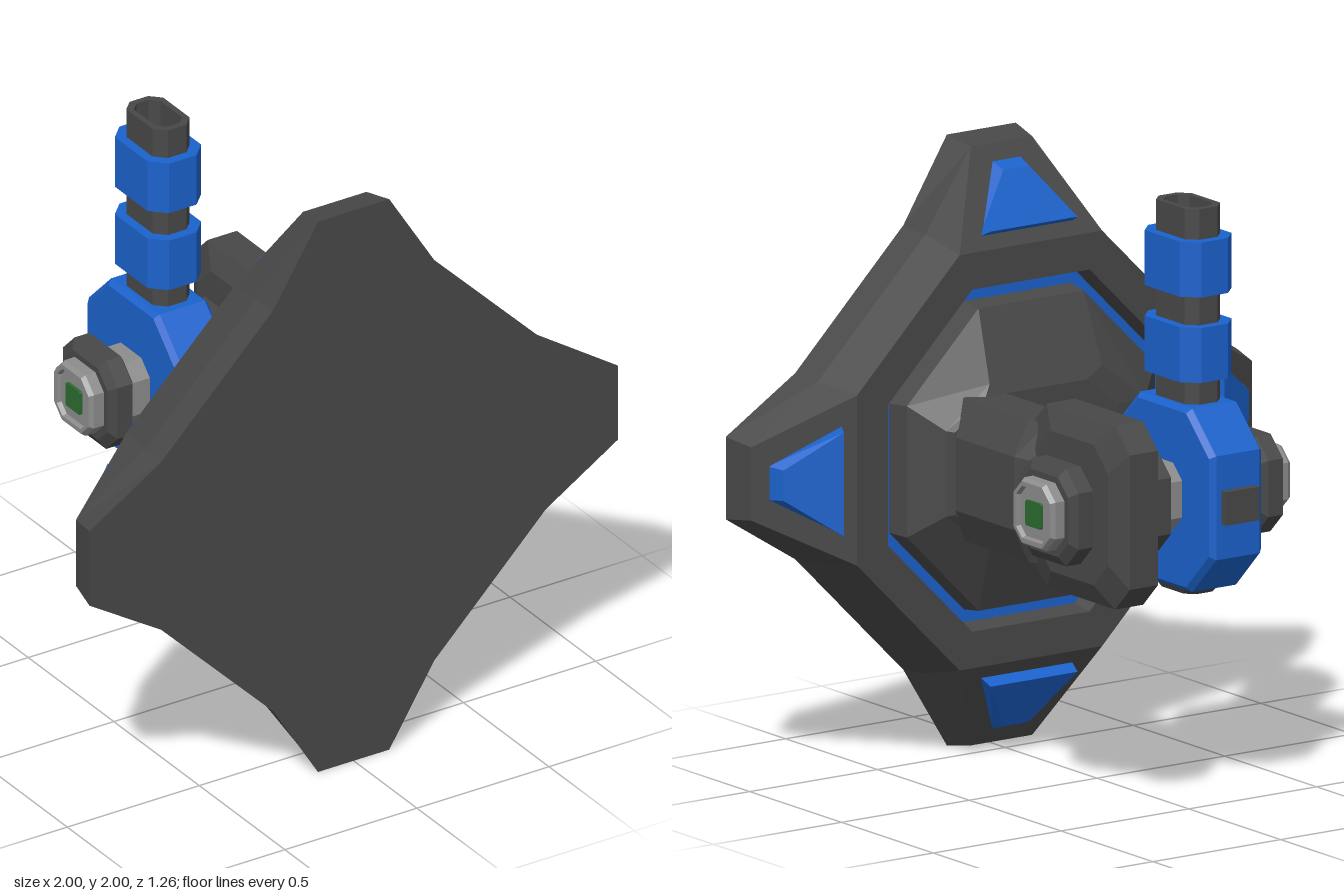
import * as THREE from 'three';

const mat = (c) => new THREE.MeshStandardMaterial({ color: c, flatShading: true });
const V = (x, y, z) => new THREE.Vector3(x, y, z);

// Skins a list of equal-length point rings and caps both ends, facing outward
function loft(rings) {
  const tris = [];
  const n = rings[0].length;
  for (let r = 0; r + 1 < rings.length; r++) {
    for (let i = 0; i < n; i++) {
      const j = (i + 1) % n, a = rings[r], b = rings[r + 1];
      tris.push([a[i], a[j], b[j]], [a[i], b[j], b[i]]);
    }
  }
  const cap = (ring, flip) => {
    const c = ring.reduce((s, p) => s.add(p), V(0, 0, 0)).divideScalar(n);
    ring.forEach((p, i) => {
      const q = ring[(i + 1) % n];
      tris.push(flip ? [c, q, p] : [c, p, q]);
    });
  };
  cap(rings[0], true);
  cap(rings[rings.length - 1], false);
  const volume = tris.reduce((s, [a, b, c]) => s + a.dot(b.clone().cross(c)), 0);
  const pts = tris.flatMap((t) => (volume < 0 ? [t[0], t[2], t[1]] : t));
  const g = new THREE.BufferGeometry().setFromPoints(pts);
  g.computeVertexNormals();
  return g;
}

// Chamfered rectangle with half sizes a, b and corner cuts ca, cb
const oct = (a, b, ca, cb = ca) => [
  [a, b - cb], [a - ca, b], [ca - a, b], [-a, b - cb],
  [-a, cb - b], [ca - a, -b], [a - ca, -b], [a, cb - b],
];

// Prisms built from [position, half sizes, cuts] sections along one axis
const alongX = (secs) => loft(secs.map(([x, hy, hz, c]) => oct(hy, hz, c).map(([y, z]) => V(x, y, z))));
const alongY = (secs) => loft(secs.map(([y, hx, hz, c]) => oct(hx, hz, c).map(([x, z]) => V(x, y, z))));
const alongZ = (secs) => loft(secs.map(([z, hx, hy, cx, cy, x0 = 0]) =>
  oct(hx, hy, cx, cy).map(([x, y]) => V(x + x0, y, z))));

export function createModel() {
  const group = new THREE.Group();
  const dark = mat(0x484848), blue = mat(0x1b62cc), light = mat(0x8c8c8c), green = mat(0x2c6b30);
  const add = (name, geo, m, x = 0, y = 0, z = 0, parent = group) => {
    const mesh = new THREE.Mesh(geo, m);
    mesh.name = name;
    mesh.position.set(x, y, z);
    parent.add(mesh);
    return mesh;
  };
  const AY = 1, AZ = -0.333; // axle height and depth

  // Four-pointed plate with a sunken octagonal middle
  const star = (z, tipR, tipW, valR, valW) => {
    const ring = [];
    for (let k = 0; k < 4; k++) {
      for (const [x, y] of [[tipR, -tipW], [tipR, tipW], [valR, valW], [valW, valR]]) {
        const c = [1, 0, -1, 0][k], s = [0, 1, 0, -1][k];
        ring.push(V(x * c - y * s, x * s + y * c, z));
      }
    }
    // drop the doubled valley point that the next quadrant does not need
    return ring.filter((_, i) => i % 4 !== 3);
  };
  const fullStar = (z, tipR, tipW, valR, valW) => {
    const ring = [];
    for (let k = 0; k < 4; k++) {
      const c = [1, 0, -1, 0][k], s = [0, 1, 0, -1][k];
      for (const [x, y] of [[valR, -valW], [tipR, -tipW], [tipR, tipW], [valR, valW]]) {
        ring.push(V(x * c - y * s, x * s + y * c, z));
      }
    }
    return ring;
  };
  const octStar = (z, r) => fullStar(z, r, r * 0.41, r, r * 0.41);
  add('plate', loft([
    fullStar(0.63, 1, 0.135, 0.728, 0.305),
    fullStar(0.52, 0.98, 0.12, 0.718, 0.298),
    octStar(0.36, 0.68), octStar(0.36, 0.56), octStar(0.47, 0.54),
  ]), dark, 0, AY, 0);

  // Blue band lying in the sunken middle
  const shapeOf = (pts) => pts.map(([x, y]) => new THREE.Vector2(x, y));
  const band = new THREE.Shape(shapeOf(oct(0.55, 0.55, 0.325)));
  band.holes.push(new THREE.Path(shapeOf(oct(0.5, 0.5, 0.295))));
  add('blueBand', new THREE.ExtrudeGeometry(band, { depth: 0.04, bevelEnabled: false }), blue, 0, AY, 0.435);

  // Faceted mound the arm grows from
  add('mound', alongZ([
    [0.475, 0.51, 0.51, 0.3, 0.3], [0.36, 0.485, 0.495, 0.28, 0.28],
    [0.265, 0.39, 0.27, 0.17, 0.13, 0.01], [0.25, 0.318, 0.235, 0.12, 0.1, 0.057],
  ]), dark, 0, AY, 0);

  // Wedge tiles on the four points
  const tileRing = (w1, y1, z1, w2, y2, z2) => [V(-w1, y1, z1), V(w1, y1, z1), V(w2, y2, z2), V(-w2, y2, z2)];
  for (let k = 0; k < 4; k++) {
    add('pointTile', loft([
      tileRing(0.18, 0.72, 0.39, 0.055, 0.93, 0.497),
      tileRing(0.17, 0.745, 0.342, 0.05, 0.91, 0.44),
    ]), blue, 0, AY, 0).rotation.z = k * Math.PI / 2;
  }

  // Arm and its bevelled head
  add('arm', alongZ([
    [0.3, 0.128, 0.235, 0.058, 0.115], [-0.07, 0.128, 0.235, 0.058, 0.115], [-0.14, 0.088, 0.225, 0.03, 0.115],
  ]), dark, 0.247, AY, 0);
  add('armHead', alongX([
    [-0.09, 0.23, 0.195, 0.08], [-0.055, 0.3, 0.266, 0.08], [0.055, 0.3, 0.266, 0.08], [0.09, 0.23, 0.195, 0.08],
  ]), dark, 0.247, AY, AZ);

  // Axle with recessed ends, collars and green pins
  const half = [[0.455, 0.062, 0.062, 0.022], [0.455, 0.08, 0.08, 0.03], [0.47, 0.085, 0.085, 0.032],
    [0.47, 0.1, 0.1, 0.045], [0.455, 0.11, 0.11, 0.05]];
  add('axle', alongX([
    ...half.map(([x, ...s]) => [-x, ...s]), ...half.slice().reverse(),
  ]), light, 0.025, AY, AZ);
  for (const x of [-0.345, 0.092, 0.398]) {
    add('collar', alongX([
      [-0.048, 0.13, 0.13, 0.055], [-0.028, 0.16, 0.16, 0.068], [0.028, 0.16, 0.16, 0.068], [0.048, 0.13, 0.13, 0.055],
    ]), dark, x, AY, AZ);
  }
  for (const s of [-1, 1]) {
    add('pin', alongX([[-0.02, 0.042, 0.042, 0.006], [0.01, 0.042, 0.042, 0.006]].map(([x, ...r]) => [x * s, ...r])),
      green, 0.025 + s * 0.455, AY, AZ);
  }

  // Blue hub with a small block on its back, front and underside
  const HX = -0.117;
  add('hub', alongX([
    [-0.102, 0.285, 0.255, 0.125], [-0.085, 0.3, 0.272, 0.13], [0.085, 0.3, 0.272, 0.13], [0.102, 0.285, 0.255, 0.125],
  ]), blue, HX, AY, AZ);
  for (const s of [-1, 1]) {
    add('hubBlock', new THREE.BoxGeometry(0.13, 0.11, 0.06), dark, HX, AY, AZ + s * 0.268);
  }
  add('hubFoot', alongY([[-0.325, 0.06, 0.09, 0.03], [-0.305, 0.07, 0.11, 0.035], [-0.25, 0.07, 0.11, 0.035]]),
    dark, HX, AY, AZ);

  // Hollow post rising from the hub
  const tube = new THREE.Shape(shapeOf(oct(0.07, 0.112, 0.035)));
  tube.holes.push(new THREE.Path(shapeOf(oct(0.05, 0.09, 0.027))));
  add('post', new THREE.ExtrudeGeometry(tube, { depth: 0.7, bevelEnabled: false }), dark, HX, 1.24, AZ)
    .rotation.x = -Math.PI / 2;

  // Two blue sleeves around the post, open in the middle
  const sleeve = new THREE.Shape(shapeOf(oct(0.102, 0.145, 0.05)));
  sleeve.holes.push(new THREE.Path(shapeOf(oct(0.065, 0.105, 0.033))));
  for (const y of [1.38, 1.66]) {
    add('sleeve', new THREE.ExtrudeGeometry(sleeve, { depth: 0.18, bevelEnabled: false }), blue, HX, y, AZ)
      .rotation.x = -Math.PI / 2;
  }
  return group;
}
